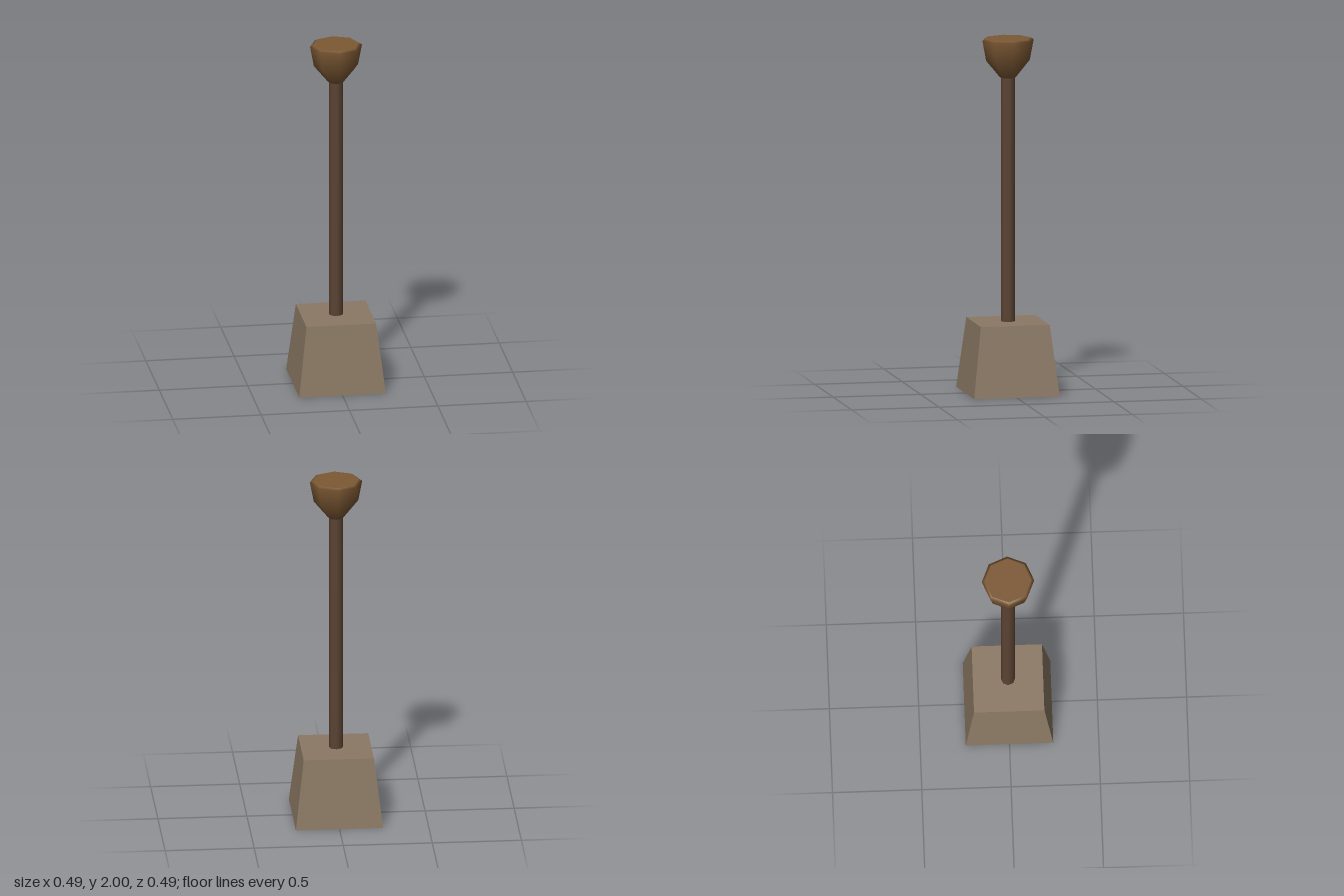
import * as THREE from 'three';

const SIDES = 8;
const stone = new THREE.MeshStandardMaterial({ color: 0x8b7964 });
const stoneFlat = stone.clone();
stoneFlat.flatShading = true;
const darkWood = new THREE.MeshStandardMaterial({ color: 0x5c4433 });
const bowlWood = new THREE.MeshStandardMaterial({ color: 0x7d5934 });

function addPart(parent, name, geometry, material, y = 0) {
  const mesh = new THREE.Mesh(geometry, material);
  mesh.name = name;
  mesh.position.y = y;
  parent.add(mesh);
  return mesh;
}

export function createModel() {
  const model = new THREE.Group();
  model.name = 'postWithBowl';

  // Tapered square plinth
  const plinth = new THREE.CylinderGeometry(0.197 * Math.SQRT2, 0.245 * Math.SQRT2, 0.4, 4);
  plinth.rotateY(Math.PI / 4);
  addPart(model, 'plinth', plinth, stoneFlat, 0.2);

  // Slim eight-sided pole
  addPart(model, 'pole', new THREE.CylinderGeometry(0.04, 0.04, 1.4, SIDES), darkWood, 1.09);

  // Faceted bowl with a small chamfer round the rim
  const bowl = new THREE.Group();
  bowl.name = 'bowl';
  model.add(bowl);
  const profile = [[0.045, 1.778], [0.125, 1.875], [0.147, 1.99], [0.131, 2]]
    .map(([r, y]) => new THREE.Vector2(r, y));
  addPart(bowl, 'bowlSide', new THREE.LatheGeometry(profile, SIDES), bowlWood);

  // Flat discs closing the bowl above and below
  const top = new THREE.CircleGeometry(0.131, SIDES).rotateX(-Math.PI / 2);
  addPart(bowl, 'bowlTop', top, bowlWood, 2);
  const bottom = new THREE.CircleGeometry(0.045, SIDES).rotateX(Math.PI / 2);
  addPart(bowl, 'bowlBottom', bottom, bowlWood, 1.778);

  return model;
}
